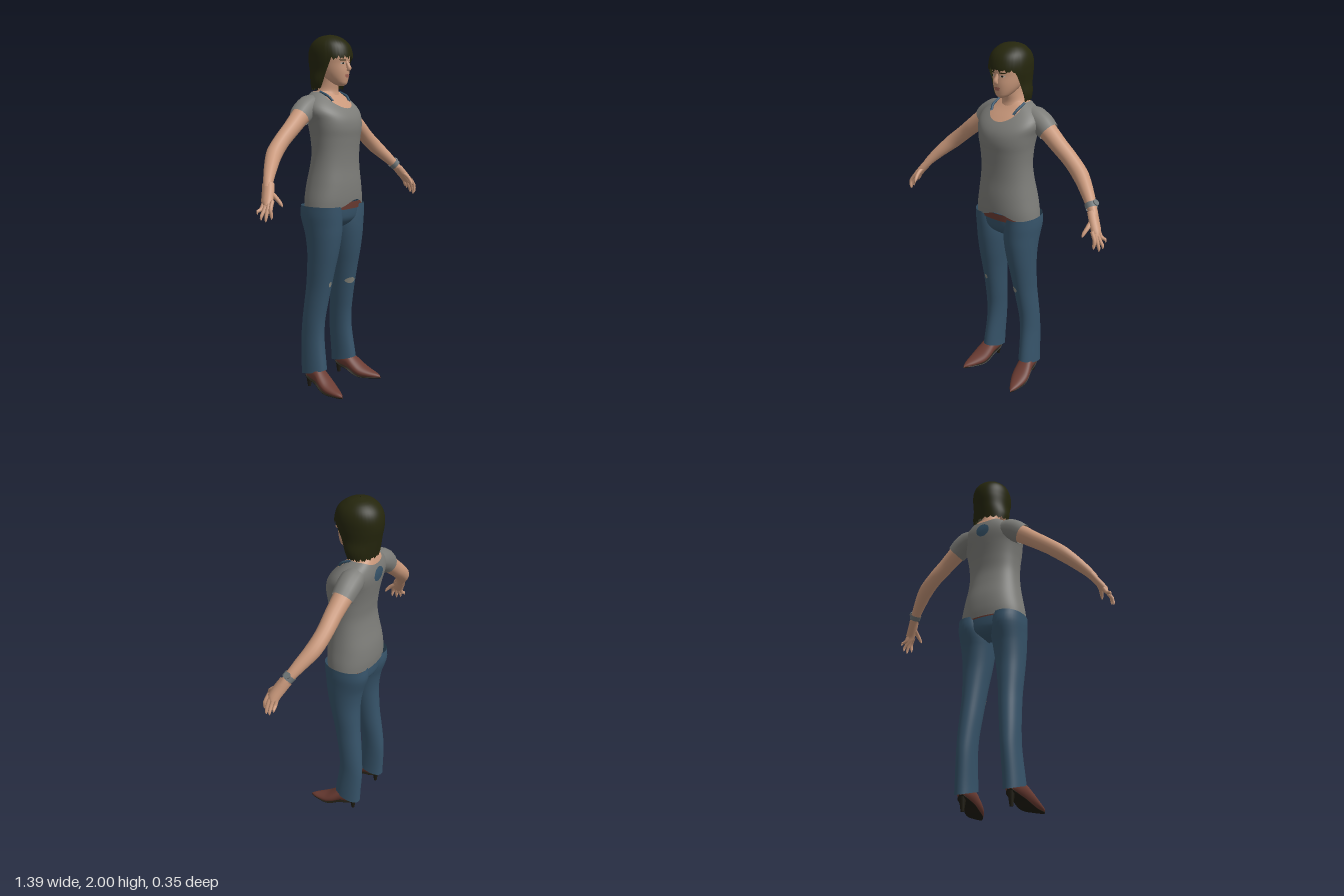
import * as THREE from 'three';

const mat = (name, color) => {
  const m = new THREE.MeshStandardMaterial({ color, side: THREE.DoubleSide });
  m.name = name;
  return m;
};

// Cross-section tables: [y, half width, front z, back z, centre x]
const TORSO = [
  [1.04, .196, .103, -.155], [1.1, .19, .11, -.16], [1.18, .175, .11, -.155], [1.28, .158, .103, -.135],
  [1.36, .152, .104, -.125], [1.44, .157, .111, -.132], [1.49, .165, .117, -.14], [1.54, .175, .111, -.15],
  [1.58, .188, .09, -.157], [1.62, .18, .055, -.16], [1.66, .14, .015, -.155], [1.695, .085, -.015, -.145]];
const PELVIS = [
  [.925, .02, .01, -.06], [.945, .08, .045, -.11], [.97, .15, .075, -.14], [1.0, .186, .09, -.15], [1.085, .186, .1, -.15]];
const LEG = [
  [.07, .053, .032, -.14, .142], [.14, .051, .022, -.142, .14], [.3, .05, 0, -.148, .132], [.4, .053, 0, -.142, .127],
  [.5, .057, .015, -.132, .12], [.6, .061, .034, -.121, .114], [.7, .069, .054, -.114, .11], [.8, .079, .075, -.113, .105],
  [.9, .089, .09, -.128, .101], [.96, .094, .094, -.148, .1], [1.01, .094, .096, -.16, .104], [1.065, .088, .096, -.155, .108]];
const NECK = [[1.64, .1, .01, -.148], [1.67, .082, 0, -.14], [1.695, .062, -.005, -.128], [1.73, .053, .0, -.115], [1.79, .052, .01, -.11]];
const HEAD = [
  [1.722, .008, .045, .01], [1.73, .03, .058, -.01], [1.745, .046, .063, -.04], [1.77, .062, .068, -.085], [1.8, .073, .071, -.12],
  [1.84, .08, .07, -.14], [1.88, .082, .073, -.15], [1.93, .072, .05, -.135], [1.96, .02, -.02, -.07]];
const HAIR = [
  [1.68, .1, .015, -.142], [1.74, .113, .035, -.152], [1.8, .108, .06, -.163], [1.86, .112, .085, -.174], [1.91, .111, .08, -.172],
  [1.95, .098, .06, -.155], [1.98, .07, .022, -.122], [1.994, .04, -.012, -.088], [2.0, .003, -.045, -.052]];
// Boot runs from heel to toe: [z, half width, -bottom, -top, centre x]
const BOOT = [
  [-.115, .008, -.085, -.1, .14], [-.105, .03, -.07, -.125, .141], [-.07, .042, -.055, -.145, .143], [-.02, .046, -.042, -.14, .148],
  [.03, .054, -.018, -.1, .157], [.07, .052, -.007, -.07, .164], [.12, .036, -.006, -.047, .175], [.16, .018, -.007, -.032, .184],
  [.18, .004, -.009, -.02, .188]];

// Smooth interpolation of a table at height y
function section(table, y) {
  const n = table.length;
  y = Math.min(Math.max(y, table[0][0]), table[n - 1][0]);
  let i = 0;
  while (i < n - 2 && y > table[i + 1][0]) i++;
  const a = table[i], b = table[i + 1], h = b[0] - a[0], t = (y - a[0]) / h;
  const val = (r, k) => r[k] || 0;
  return [1, 2, 3, 4].map(k => {
    const slope = j => {
      const p = table[Math.max(j - 1, 0)], q = table[Math.min(j + 1, n - 1)];
      return (val(q, k) - val(p, k)) / (q[0] - p[0]);
    };
    const t2 = t * t, t3 = t2 * t;
    return (2 * t3 - 3 * t2 + 1) * val(a, k) + (t3 - 2 * t2 + t) * h * slope(i)
      + (3 * t2 - 2 * t3) * val(b, k) + (t3 - t2) * h * slope(i + 1);
  });
}

function grid(pos, cols, rows) {
  const idx = [];
  for (let j = 0; j < rows; j++) for (let i = 0; i < cols; i++) {
    const a = j * cols + i, b = j * cols + (i + 1) % cols;
    idx.push(a, a + cols, b, b, a + cols, b + cols);
  }
  const g = new THREE.BufferGeometry();
  g.setAttribute('position', new THREE.Float32BufferAttribute(pos, 3));
  g.setIndex(idx);
  g.computeVertexNormals();
  return g;
}

// Closed skin around a table, with lower and upper edges that vary with the angle
function wrap(table, { lo, hi, cols = 40, rows = 24, pow = 1, grow = 0, side = 1 } = {}) {
  const pos = [], end = table[table.length - 1][0];
  for (let j = 0; j <= rows; j++) for (let i = 0; i < cols; i++) {
    const a = i / cols * Math.PI * 2, c = Math.cos(a), s = Math.sin(a);
    const y0 = lo ? lo(c, s, i) : table[0][0], y1 = hi ? hi(c, s, i) : end;
    const y = y0 + (y1 - y0) * j / rows;
    const [rx, zf, zb, cx] = section(table, y);
    const e = v => Math.sign(v) * Math.abs(v) ** pow;
    pos.push(cx * side + (rx + grow) * e(c), y, (zf + zb) / 2 + ((zf - zb) / 2 + grow) * e(s));
  }
  return grid(pos, cols, rows);
}

// Thin oval laid on the front (dir 1) or back (dir -1) of a table
function decal(table, x, y, rx, ry, { dir = 1, off = .003, side = 1, pow = 1 } = {}) {
  const pos = [], cols = 20, rows = 4;
  for (let j = 0; j <= rows; j++) for (let i = 0; i < cols; i++) {
    const a = i / cols * Math.PI * 2, r = 1 - j / rows;
    const px = x + rx * r * Math.cos(a), py = y + ry * r * Math.sin(a);
    const [w, zf, zb, cx] = section(table, py);
    const u = Math.min(Math.abs((px - cx * side) / w), 1);
    const s = Math.max(1 - u ** (2 / pow), 0) ** (pow / 2);
    pos.push(px, py, (zf + zb) / 2 + dir * ((zf - zb) / 2 * s + off));
  }
  const g = grid(pos, cols, rows);
  if (dir < 0) { g.index.array.reverse(); g.computeVertexNormals(); }
  return g;
}

// Tapered tube through [x, y, z, radius] points; wide stretches it along z
function limb(points, { side = 1, wide = 1, steps = 24, sides = 16 } = {}) {
  const curve = new THREE.CatmullRomCurve3(points.map(p => new THREE.Vector3(p[0] * side, p[1], p[2])));
  const g = new THREE.TubeGeometry(curve, steps, 1, sides), p = g.attributes.position, v = new THREE.Vector3();
  for (let i = 0; i <= steps; i++) {
    const c = curve.getPointAt(i / steps), f = curve.getUtoTmapping(i / steps) * (points.length - 1);
    const k = Math.min(Math.floor(f), points.length - 2);
    const r = THREE.MathUtils.lerp(points[k][3], points[k + 1][3], f - k);
    for (let j = 0; j <= sides; j++) {
      const n = i * (sides + 1) + j;
      v.fromBufferAttribute(p, n).sub(c).multiplyScalar(r);
      p.setXYZ(n, c.x + v.x, c.y + v.y, c.z + v.z * wide);
    }
  }
  return g;
}

export function createModel() {
  const skin = mat('skin', 0xc9987b), hair = mat('hair', 0x25260d), shirt = mat('shirt grey', 0x7c7c78);
  const denim = mat('denim', 0x365369), leather = mat('brown leather', 0x6b3c33), dark = mat('dark sole', 0x1f1c12);
  const metal = mat('watch grey', 0x6f7678), lip = mat('lips', 0xa5685a), worn = mat('worn cloth', 0x85857c), white = mat('eye white', 0xb9b0a6);
  const model = new THREE.Group();
  const add = (name, geo, m) => {
    const mesh = new THREE.Mesh(geo, m);
    mesh.name = name;
    model.add(mesh);
    return mesh;
  };

  // Torso, shirt with scooped neck and lifted front hem
  const hem = (c, s) => 1.05 + (s > 0 ? .045 * Math.exp(-(((c * .196 - .03) / .085) ** 2)) : 0);
  const neckline = (c, s) => 1.692 - (s > 0 ? .092 * s ** 4 : .022 * s ** 4);
  add('shirt', wrap(TORSO, { lo: hem, hi: neckline, cols: 64, rows: 40, pow: .9 }), shirt);
  add('chest', wrap(TORSO, { lo: () => 1.54, grow: -.005, pow: .9 }), skin);
  add('backKeyhole', decal(TORSO, 0, 1.61, .042, .04, { dir: -1, pow: .9 }), denim);
  add('neck', wrap(NECK), skin);

  // Jeans and belt
  add('jeansSeat', wrap(PELVIS, { pow: .9 }), denim);
  add('belt', wrap(TORSO, { lo: () => 1.045, hi: () => 1.085, grow: -.004, rows: 4, pow: .9 }), leather);
  add('kneePatchLeft', decal(LEG, .09, .605, .026, .018, { off: .004 }), worn);
  add('kneePatchRight', decal(LEG, -.118, .622, .01, .016, { off: .004, side: -1 }), worn);

  // Head and face
  add('head', wrap(HEAD, { rows: 32 }), skin);
  add('nose', limb([[0, 1.858, .062, .007], [0, 1.835, .073, .01], [0, 1.815, .081, .014], [0, 1.803, .072, .006]], { sides: 12 }), skin);
  add('upperLip', decal(HEAD, 0, 1.779, .021, .005), lip);
  add('lowerLip', decal(HEAD, 0, 1.771, .017, .006, { off: .004 }), lip);

  // Hair cap with a fringe, side curtains and ragged tips
  const hairEdge = (c, s, i) => {
    const f = THREE.MathUtils.smoothstep(s, .3, .58);
    return 1.705 + f * (.15 + .018 * s) + .012 * Math.sin(i * 2.3) * Math.cos(i * .9);
  };
  add('hair', wrap(HAIR, { lo: hairEdge, cols: 80, rows: 36 }), hair);

  for (const side of [1, -1]) {
    const word = side > 0 ? 'Left' : 'Right', o = { side };
    add('eye' + word, decal(HEAD, .032 * side, 1.842, .013, .005), white);
    add('iris' + word, decal(HEAD, .032 * side, 1.842, .005, .005, { off: .005 }), dark);
    add('brow' + word, decal(HEAD, .033 * side, 1.859, .018, .003), hair);

    // Arms and sleeves
    add('sleeve' + word, limb([[.08, 1.625, -.085, .05], [.14, 1.608, -.085, .066], [.185, 1.585, -.085, .064], [.226, 1.553, -.083, .058]], o), shirt);
    add('arm' + word, limb([[.15, 1.6, -.085, .045], [.21, 1.563, -.083, .052], [.3, 1.495, -.077, .046], [.38, 1.432, -.075, .043],
      [.455, 1.37, -.06, .043], [.53, 1.3, -.02, .034], [.585, 1.24, .015, .025], [.605, 1.212, .03, .022]], { side, steps: 40 }), skin);
    add('strap' + word, limb([[.088, 1.69, -.05, .007], [.085, 1.665, .005, .007], [.075, 1.64, .028, .007]], o), denim);

    // Hands
    add('palm' + word, limb([[.59, 1.232, .02, .02], [.615, 1.195, .04, .02], [.645, 1.152, .06, .019], [.66, 1.125, .066, .003]],
      { side, wide: 1.9 }), skin);
    const tips = [[.664, 1.07, .107], [.682, 1.056, .085], [.688, 1.064, .06], [.686, 1.09, .034]];
    tips.forEach(([x, y, z], i) => {
      const bz = .092 - i * .018;
      add('finger' + word, limb([[.64, 1.158, bz, .01], [.665, 1.115, (bz + z) / 2 + .003, .01], [x, y + .015, z, .008], [x, y, z, .001]],
        { side, steps: 10, sides: 8 }), skin);
    });
    add('thumb' + word, limb([[.61, 1.2, .045, .013], [.612, 1.17, .09, .012], [.606, 1.14, .118, .009], [.604, 1.125, .125, .001]],
      { side, steps: 10, sides: 8 }), skin);

    // Trouser legs with slanted cuffs
    add('trouserLeg' + word, wrap(LEG, { lo: (c, s) => .1 + .022 * s, side, rows: 40, pow: .95 }), denim);

    // Heeled boots
    add('boot' + word, wrap(BOOT, o).rotateX(Math.PI / 2), leather);
    const sole = BOOT.map(([z, w, b, t, x]) => [z, w * .85, b + .005, b - .008, x]);
    add('sole' + word, wrap(sole, o).rotateX(Math.PI / 2), dark);
    const heel = add('heel' + word, new THREE.CylinderGeometry(.02, .009, .075, 14), dark);
    heel.position.set(.141 * side, .0375, -.095);
  }

  // Wristwatch on the left arm
  add('watchBand', limb([[.567, 1.262, .003, .034], [.585, 1.242, .016, .032]], { steps: 4 }), metal);
  const dial = add('watchDial', new THREE.CylinderGeometry(.017, .017, .008, 20), metal);
  dial.position.set(.598, 1.276, .004);
  dial.rotation.z = -.8;
  return model;
}
